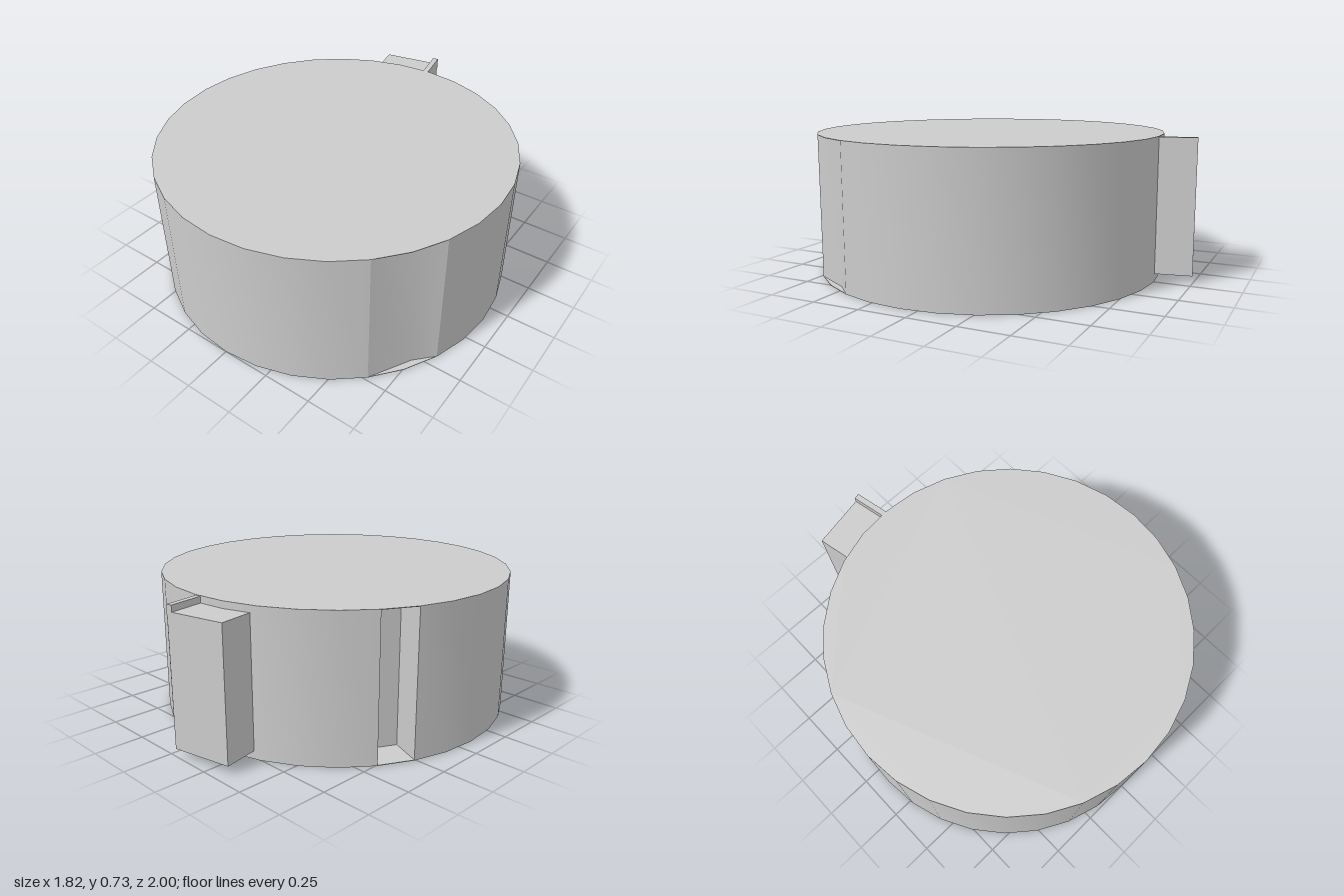
import * as THREE from 'three';
import { toCreasedNormals } from 'three/addons/utils/BufferGeometryUtils.js';

const SIDES = 32, RADIUS = 0.91, HEIGHT = 0.73, CAP = 0.003, CENTRE_Z = 0.09;

// Rim point in plan, counted from the back towards the model's right
function rim(i, r = RADIUS) {
  const a = (i / SIDES) * Math.PI * 2;
  return new THREE.Vector2(-r * Math.sin(a), r * Math.cos(a));
}

// Plan outline stood up between two heights
function prism(points, y0, y1) {
  const g = new THREE.ExtrudeGeometry(new THREE.Shape(points), { depth: y1 - y0, bevelEnabled: false });
  g.rotateX(-Math.PI / 2);
  g.translate(0, y0, 0);
  return toCreasedNormals(g, 0.35);
}

export function createModel() {
  const model = new THREE.Group();
  const material = new THREE.MeshStandardMaterial({ color: 0xcccccc });
  const add = (name, geometry, parent = model) => {
    const mesh = new THREE.Mesh(geometry, material);
    mesh.name = name;
    parent.add(mesh);
    return mesh;
  };

  // Drum wall with a deep radial slot and a shallow dent opposite it
  const drum = new THREE.Group();
  drum.name = 'drum';
  drum.position.z = CENTRE_Z;
  model.add(drum);
  const outline = [], disc = [];
  for (let i = 0; i < SIDES; i++) {
    disc.push(rim(i));
    if (i === 21) outline.push(new THREE.Vector2(0.755, CENTRE_Z - 0.53));
    else outline.push(rim(i));
    if (i === 5) outline.push(rim(5, RADIUS - 0.17), rim(6, RADIUS - 0.17));
  }
  add('drumWall', prism(outline, CAP, HEIGHT - CAP), drum);

  // Full discs close the notches above and below
  add('topDisc', prism(disc, HEIGHT - CAP, HEIGHT), drum);
  add('bottomDisc', prism(disc, 0, CAP), drum);

  // Block on the back, square to the rim, with a raised lip along one end
  const block = new THREE.Group();
  block.name = 'backBlock';
  block.position.set(-0.195, 0, -0.97);
  block.rotation.y = Math.PI / 16;
  model.add(block);
  add('blockBody', new THREE.BoxGeometry(0.312, 0.655, 0.24), block).position.set(0, 0.3675, 0.12);
  add('blockLip', new THREE.BoxGeometry(0.03, 0.06, 0.24), block).position.set(0.143, 0.697, 0.12);
  return model;
}
